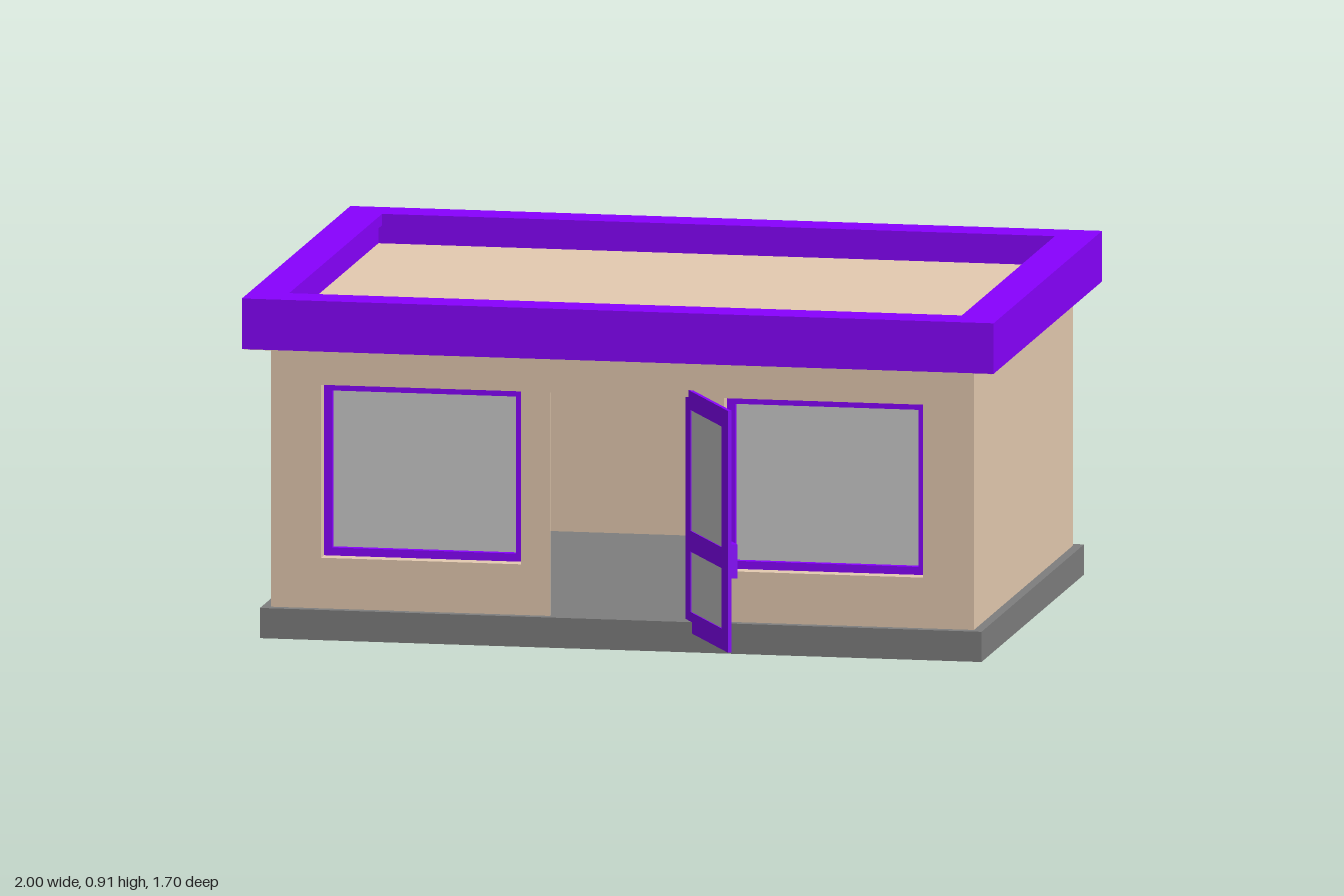
import * as THREE from 'three';

const mat = (color) => new THREE.MeshStandardMaterial({ color, side: THREE.DoubleSide });
const WALL = mat(0xe5cbb1), TRIM = mat(0x8800ff), STONE = mat(0x7e7e7e), GLASS = mat(0xcccccc);

// Box given by its min and max corners
function box(name, material, [x0, y0, z0], [x1, y1, z1]) {
  const mesh = new THREE.Mesh(new THREE.BoxGeometry(x1 - x0, y1 - y0, z1 - z0), material);
  mesh.position.set((x0 + x1) / 2, (y0 + y1) / 2, (z0 + z1) / 2);
  mesh.name = name;
  return mesh;
}

const points = (list) => list.map(([x, y]) => new THREE.Vector2(x, y));
const rect = (x0, y0, x1, y1) => points([[x0, y0], [x1, y0], [x1, y1], [x0, y1]]);

// Flat plate with openings, from z to z + depth
function plate(name, material, outline, holes, z, depth) {
  const shape = new THREE.Shape(outline);
  holes.forEach((h) => shape.holes.push(new THREE.Path(h)));
  const mesh = new THREE.Mesh(new THREE.ExtrudeGeometry(shape, { depth, bevelEnabled: false }), material);
  mesh.position.z = z;
  mesh.name = name;
  return mesh;
}

const X = 0.935, ZF = 0.55, ZB = -0.785, ZC = (ZF + ZB) / 2;
const Y0 = 0.08, Y1 = 0.78, T = 0.04;
const THIN = 0.004; // front wall sheet
const SILL = 0.214, HEAD = 0.672;

// Window set back from the wall face at z = 0, with a lined opening
function makeWindow(name, x0, x1) {
  const g = new THREE.Group();
  const f = 0.021, e = 0.003;
  g.add(
    plate('windowReveal', WALL, rect(x0 - e, SILL - e, x1 + e, HEAD + e),
      [rect(x0, SILL, x1, HEAD)], -0.07, 0.069),
    plate('windowFrame', TRIM, rect(x0, SILL, x1, HEAD),
      [rect(x0 + f, SILL + f, x1 - f, HEAD - f)], -0.07, 0.03),
    box('windowPane', GLASS, [x0 + f, SILL + f, -0.065], [x1 - f, HEAD - f, -0.06]));
  g.name = name;
  return g;
}

// Open door: hinge at local x = 0, leaf along local +x
function makeDoor() {
  const g = new THREE.Group();
  const w = 0.366, s = 0.054, hinge = 0.04, t = 0.01;
  const panes = [[0.105, 0.265], [0.32, 0.64]];
  g.add(plate('doorFrame', TRIM, rect(0, 0.05, w, 0.69),
    panes.map(([a, b]) => rect(hinge, a, w - s, b)), -t / 2, t));
  panes.forEach(([a, b]) =>
    g.add(box('doorPane', GLASS, [hinge, a, -0.002], [w - s, b, 0.002])));
  g.add(box('doorHandle', TRIM, [w - 0.052, 0.245, -0.022], [w - 0.004, 0.335, -0.001]));
  g.position.set(0.168, 0, 0.525);
  g.rotation.y = -1.07;
  g.name = 'door';
  return g;
}

export function createModel() {
  const model = new THREE.Group();
  model.name = 'smallHouse';

  // Foundation slab
  model.add(box('foundation', STONE, [-0.96, 0, -0.81], [0.96, Y0, 0.575]));

  // Front wall with a doorway notch and two window openings
  const outline = points([[-X, Y0], [-0.193, Y0], [-0.193, HEAD], [0.18, HEAD],
    [0.18, Y0], [X, Y0], [X, Y1], [-X, Y1]]);
  const spans = [[-0.802, -0.27], [0.27, 0.80]];
  const front = new THREE.Group();
  front.name = 'front';
  front.position.z = ZF;
  front.add(plate('frontWall', WALL, outline, spans.map(([a, b]) => rect(a, SILL, b, HEAD)), -THIN, THIN));
  spans.forEach(([a, b]) => front.add(makeWindow('frontWindow', a, b)));
  model.add(front);

  // Right side wall with one wide window, turned to face -x
  const side = new THREE.Group();
  side.name = 'rightSide';
  side.position.set(-X, 0, ZC);
  side.rotation.y = -Math.PI / 2;
  const half = (ZF - ZB) / 2;
  side.add(
    plate('rightWall', WALL, rect(T - half, Y0, half - THIN, Y1), [rect(-0.4, SILL, 0.39, HEAD)], -T, T),
    makeWindow('sideWindow', -0.4, 0.39));
  model.add(side);

  // Plain left and back walls
  model.add(box('leftWall', WALL, [X - T, Y0, ZB + T], [X, Y1, ZF - THIN]));
  model.add(box('backWall', WALL, [-X, Y0, ZB], [X, Y1, ZB + T]));

  // Flat roof and the raised band around it, with a small lip along its inner top edge
  model.add(box('roof', WALL, [-0.995, 0.769, -0.845], [0.995, 0.825, 0.61]));
  const band = new THREE.Group();
  band.name = 'roofBand';
  band.rotation.x = -Math.PI / 2;
  const edge = rect(-1, -0.615, 1, 0.85);
  band.add(
    plate('bandBody', TRIM, edge, [rect(-0.907, -0.522, 0.907, 0.757)], 0.771, 0.134),
    plate('bandLip', TRIM, rect(-0.907, -0.522, 0.907, 0.757), [rect(-0.895, -0.51, 0.895, 0.745)], 0.875, 0.03));
  model.add(band);

  model.add(makeDoor());
  return model;
}
